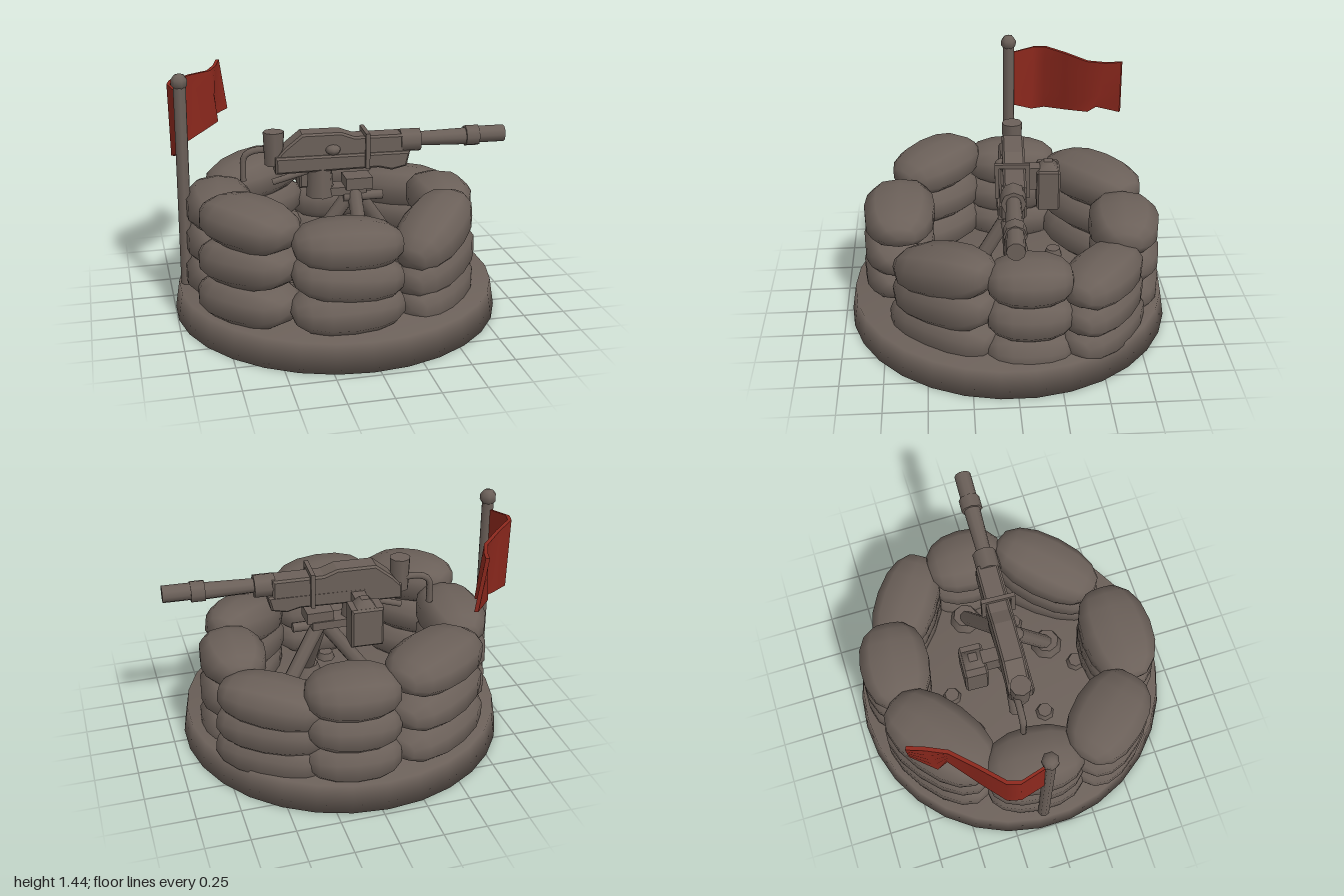
import * as THREE from 'three';
import { mergeVertices } from 'three/addons/utils/BufferGeometryUtils.js';

const clay = new THREE.MeshStandardMaterial({ color: 0x6b6059 });
clay.name = 'clay brown';
const red = new THREE.MeshStandardMaterial({ color: 0x8c281d });
red.name = 'flag red';

function add(parent, name, geometry, x = 0, y = 0, z = 0, material = clay) {
  const mesh = new THREE.Mesh(geometry, material);
  mesh.name = name;
  mesh.position.set(x, y, z);
  parent.add(mesh);
  return mesh;
}

// Shares vertices so that shading runs smoothly over every edge
function smooth(g) {
  g.deleteAttribute('normal');
  g.deleteAttribute('uv');
  const merged = mergeVertices(g, 1e-3);
  merged.computeVertexNormals();
  return merged;
}

// Plump bag: a sphere squared off by a power rule, long along x
function bagGeometry() {
  const g = new THREE.SphereGeometry(1, 10, 8);
  g.rotateZ(Math.PI / 2);
  const p = g.attributes.position;
  const puff = (v, k) => Math.sign(v) * Math.pow(Math.abs(v), k);
  for (let i = 0; i < p.count; i++) {
    p.setXYZ(i, puff(p.getX(i), 0.9), puff(p.getY(i), 0.78), puff(p.getZ(i), 0.82));
  }
  return smooth(g);
}

// Cylinder lying along x from x0 to x1
function barrelPart(parent, name, x0, x1, r0, r1, y, sides = 10) {
  const g = new THREE.CylinderGeometry(r1, r0, x1 - x0, sides);
  g.rotateZ(-Math.PI / 2);
  return add(parent, name, g, (x0 + x1) / 2, y, 0);
}

// Side profile extruded across z, centred on z
function slab(parent, name, points, width, z = 0) {
  const shape = new THREE.Shape(points.map(([x, y]) => new THREE.Vector2(x, y)));
  const b = 0.012;
  const g = new THREE.ExtrudeGeometry(shape, {
    depth: width - 2 * b, bevelEnabled: true, bevelSize: b, bevelOffset: -b, bevelThickness: b, bevelSegments: 1,
  });
  return add(parent, name, g, 0, 0, z - width / 2 + b);
}

// Straight rod between two points
function rod(parent, name, a, b, r) {
  const from = new THREE.Vector3(...a), to = new THREE.Vector3(...b);
  const dir = to.clone().sub(from);
  const mesh = add(parent, name, new THREE.CylinderGeometry(r, r, dir.length(), 8));
  mesh.position.copy(from).add(to).multiplyScalar(0.5);
  mesh.quaternion.setFromUnitVectors(new THREE.Vector3(0, 1, 0), dir.normalize());
}

function buildSandbags(root) {
  const wall = new THREE.Group();
  wall.name = 'sandbagWall';
  root.add(wall);
  const geometry = bagGeometry();
  // each stack: x, z, top bag y, bottom bag y, half length, half width, half height, yaw, top roll, lower roll
  const stacks = [
    [-0.43, -0.55, 0.66, 0.25, 0.36, 0.22, 0.135, 0.64, 0.05, 0],
    [0.09, -0.68, 0.62, 0.23, 0.27, 0.215, 0.135, -0.1, 0, 0.05],
    [0.495, -0.505, 0.52, 0.2, 0.325, 0.19, 0.135, -0.6, 0.06, 0],
    [0.635, -0.08, 0.59, 0.16, 0.245, 0.195, 0.13, 1.57, 0, 0],
    [0.46, 0.39, 0.56, 0.2, 0.345, 0.19, 0.15, 0.87, 0.25, 0.14],
    [-0.11, 0.65, 0.625, 0.26, 0.31, 0.22, 0.13, 0, -0.04, -0.1],
    [-0.61, 0.42, 0.7, 0.26, 0.3, 0.22, 0.135, -0.85, -0.08, 0.03],
    [-0.72, -0.06, 0.65, 0.25, 0.29, 0.2, 0.135, 1.5, 0, 0.04],
  ];
  stacks.forEach(([x, z, topY, lowY, len, wid, high, yaw, topRoll, lowRoll], i) => {
    for (let layer = 0; layer < 3; layer++) {
      const down = 2 - layer;
      const spread = 1 + 0.012 * down;
      const wobble = down ? Math.sin(i * 5.3 + layer * 2.1) : 0;
      const bag = add(wall, 'sandbag', geometry,
        -0.04 + (x + 0.04) * spread, lowY + (topY - lowY) * layer / 2, z * spread);
      bag.rotation.set(0, yaw + wobble * 0.04, [0, lowRoll, topRoll][layer]);
      bag.scale.set(len * (1 + 0.02 * down), high, wid);
    }
  });
}

function buildGun(root) {
  const gun = new THREE.Group();
  gun.name = 'gun';
  gun.position.z = -0.02;
  gun.rotation.y = -0.045;
  root.add(gun);

  // Receiver
  slab(gun, 'receiverTop', [[-0.39, 0.91], [-0.33, 0.98], [-0.23, 1.06], [0, 1.06], [0.08, 1.03],
    [0.38, 1.03], [0.38, 0.91]], 0.13, -0.01);
  slab(gun, 'receiverBottom', [[-0.39, 0.83], [0.22, 0.84], [0.3, 0.82], [0.39, 0.84], [0.41, 0.93],
    [-0.39, 0.93]], 0.15);
  add(gun, 'sideKnob', new THREE.SphereGeometry(0.045, 8, 6), -0.05, 0.96, 0.055).scale.y = 0.7;

  // Clamp frame around the receiver
  add(gun, 'clampTop', new THREE.BoxGeometry(0.025, 0.025, 0.2), 0.15, 1.045, 0);
  for (const side of [-1, 1]) {
    add(gun, 'clampSide', new THREE.BoxGeometry(0.025, 0.2, 0.025), 0.15, 0.945, side * 0.0875);
  }

  // Barrel with collars
  barrelPart(gun, 'barrelCollar', 0.36, 0.48, 0.07, 0.07, 0.98, 8);
  barrelPart(gun, 'barrel', 0.48, 0.77, 0.042, 0.05, 0.985);
  barrelPart(gun, 'muzzleCollar', 0.76, 0.84, 0.063, 0.063, 0.988, 8);
  barrelPart(gun, 'muzzle', 0.84, 1.0, 0.05, 0.05, 0.992);

  // Rear sight drum and bent handle
  add(gun, 'rearDrum', new THREE.CylinderGeometry(0.062, 0.055, 0.2, 8), -0.39, 0.97, -0.01);
  const bend = new THREE.CatmullRomCurve3([[-0.4, 0.955], [-0.51, 0.95], [-0.56, 0.92], [-0.57, 0.84],
    [-0.57, 0.77]].map(([x, y]) => new THREE.Vector3(x, y, -0.04)));
  add(gun, 'handle', new THREE.TubeGeometry(bend, 12, 0.02, 6));

  // Ammunition box with sloped lid, hung on the far side
  slab(gun, 'ammoBox', [[-0.22, 0.66], [-0.03, 0.66], [-0.03, 0.9], [-0.22, 0.9]], 0.14, -0.22);
  const lid = new THREE.CylinderGeometry(0.035, 0.085, 0.05, 4);
  lid.rotateY(Math.PI / 4);
  add(gun, 'ammoLid', lid, -0.12, 0.92, -0.22);
  add(gun, 'boxBracket', new THREE.BoxGeometry(0.08, 0.14, 0.12), -0.12, 0.84, -0.12);
}

function buildMount(root) {
  const mount = new THREE.Group();
  mount.name = 'tripodMount';
  root.add(mount);
  add(mount, 'pivot', new THREE.CylinderGeometry(0.07, 0.085, 0.18, 8), -0.12, 0.76, -0.02);
  add(mount, 'cradle', new THREE.BoxGeometry(0.3, 0.05, 0.12), 0, 0.7, -0.02);
  add(mount, 'hub', new THREE.BoxGeometry(0.16, 0.07, 0.14), 0.1, 0.75, 0);
  const pin = new THREE.CylinderGeometry(0.03, 0.03, 0.24, 8);
  pin.rotateZ(Math.PI / 2);
  add(mount, 'hubPin', pin, 0.13, 0.66, 0.02);
  rod(mount, 'elevationRod', [-0.4, 0.76, -0.05], [-0.16, 0.83, -0.03], 0.02);

  // Three legs, the two outer ones ending in wide feet
  const legs = [[0.1, 0.29], [0.42, -0.16], [-0.28, -0.03]];
  legs.forEach(([x, z]) => rod(mount, 'tripodLeg', [0.08, 0.7, 0], [x, 0.2, z], 0.045));
  for (const [x, z] of legs.slice(0, 2)) {
    add(mount, 'foot', new THREE.CylinderGeometry(0.075, 0.1, 0.07, 8), x, 0.2, z);
  }
}

function buildFlag(root) {
  const flag = new THREE.Group();
  flag.name = 'flag';
  root.add(flag);
  rod(flag, 'pole', [-0.925, 0.15, -0.06], [-0.915, 1.38, -0.06], 0.036);
  add(flag, 'poleBall', new THREE.SphereGeometry(0.05, 7, 5), -0.915, 1.39, -0.06);

  // Cloth columns: top x, y, z then bottom x, y, z
  const columns = [
    [-0.92, 1.32, -0.08, -0.93, 0.96, -0.08],
    [-0.965, 1.34, -0.23, -0.96, 0.91, -0.22],
    [-0.945, 1.345, -0.3, -0.94, 0.93, -0.3],
    [-0.82, 1.345, -0.42, -0.81, 0.965, -0.42],
    [-0.7, 1.335, -0.54, -0.66, 1.01, -0.55],
    [-0.65, 1.34, -0.65, -0.69, 1.03, -0.61],
    [-0.62, 1.355, -0.745, -0.578, 1.04, -0.74],
  ];
  const steps = columns.length - 1;
  const cloth = new THREE.BoxGeometry(1, 1, 1, steps, 4, 1);
  const p = cloth.attributes.position;
  for (let i = 0; i < p.count; i++) {
    const c = columns[Math.round((p.getX(i) + 0.5) * steps)];
    const t = 0.5 - p.getY(i);
    const thick = p.getZ(i) * 0.022;
    const at = (k) => c[k] + (c[k + 3] - c[k]) * t;
    p.setXYZ(i, at(0) + thick * 0.88, at(1), at(2) + thick * 0.47);
  }
  cloth.computeVertexNormals();
  add(flag, 'flagCloth', cloth, 0, 0, 0, red);
}

export function createModel() {
  const root = new THREE.Group();
  root.name = 'sandbagGunNest';

  // Round plinth with a softly shaded rim and floor bolts
  const base = new THREE.CylinderGeometry(0.938, 0.965, 0.165, 30);
  add(root, 'base', smooth(base), -0.037, 0.0825, 0);
  for (const [x, z] of [[-0.32, -0.31], [-0.06, -0.39], [0.3, 0.13], [-0.33, 0.14], [-0.07, 0.43]]) {
    add(root, 'floorBolt', new THREE.CylinderGeometry(0.045, 0.06, 0.05, 7), x, 0.185, z);
  }

  buildSandbags(root);
  buildMount(root);
  buildGun(root);
  buildFlag(root);
  return root;
}
